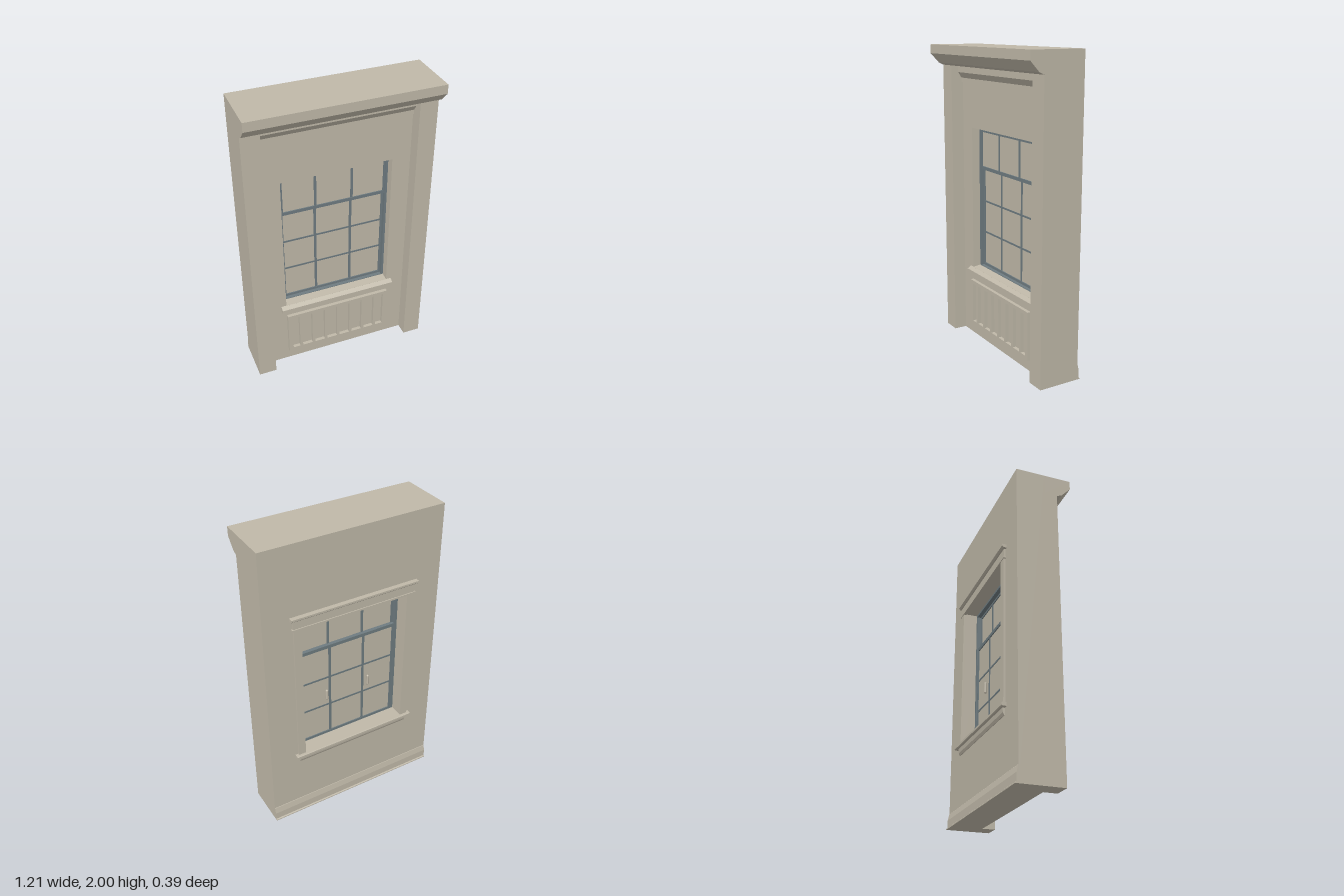
import * as THREE from 'three';

export function createModel() {
  const root = new THREE.Group();
  root.name = 'windowWall';
  const stone = new THREE.MeshStandardMaterial({ color: 0xbfb8a8 });
  stone.name = 'warmStone';
  const steel = new THREE.MeshStandardMaterial({ color: 0x6e7b80 });
  steel.name = 'blueGreyFrame';

  const add = (name, geometry, material = stone) => {
    const mesh = new THREE.Mesh(geometry, material);
    mesh.name = name;
    root.add(mesh);
    return mesh;
  };

  // Box given by its limits on each axis
  const box = (name, x0, x1, y0, y1, z0, z1, material) => {
    const g = new THREE.BoxGeometry(x1 - x0, y1 - y0, z1 - z0);
    g.translate((x0 + x1) / 2, (y0 + y1) / 2, (z0 + z1) / 2);
    return add(name, g, material);
  };

  // Moulding: a [z, y] profile run along x, centred on x = 0
  const moulding = (name, width, profile, material) => {
    const shape = new THREE.Shape(profile.map(([z, y]) => new THREE.Vector2(z, y)));
    const g = new THREE.ExtrudeGeometry(shape, { depth: width, bevelEnabled: false });
    g.rotateY(-Math.PI / 2);
    g.translate(width / 2, 0, 0);
    return add(name, g, material);
  };

  const rect = (x0, x1, y0, y1, Type = THREE.Shape) => new Type([
    new THREE.Vector2(x0, y0), new THREE.Vector2(x1, y0),
    new THREE.Vector2(x1, y1), new THREE.Vector2(x0, y1),
  ]);

  // Flat panel with rectangular holes, each [x0, x1, y0, y1]
  const panel = (name, outer, holes, z0, z1, material) => {
    const shape = rect(...outer);
    holes.forEach((h) => shape.holes.push(rect(...h, THREE.Path)));
    const g = new THREE.ExtrudeGeometry(shape, { depth: z1 - z0, bevelEnabled: false });
    g.translate(0, 0, z0);
    return add(name, g, material);
  };

  // Wall with its window opening, and pilasters on both sides
  panel('wall', [-0.605, 0.605, 0, 2], [[-0.365, 0.365, 0.485, 1.46]], -0.167, 0.02);
  for (const [side, x0, x1] of [['right', -0.605, -0.487], ['left', 0.487, 0.605]]) {
    box(side + 'Pilaster', x0, x1, 0, 1.87, 0.02, 0.105);
  }

  // Cornice over the full width, crown moulding inside the recess
  moulding('cornice', 1.21, [
    [0.02, 1.865], [0.105, 1.865], [0.138, 1.88], [0.197, 1.942], [0.197, 2], [0.02, 2],
  ]);
  moulding('crownMoulding', 0.974, [
    [0.02, 1.755], [0.03, 1.755], [0.03, 1.783], [0.055, 1.82], [0.055, 1.866], [0.02, 1.866],
  ]);

  // Sloping outer sill
  moulding('outerSill', 0.8, [
    [0.015, 0.445], [0.047, 0.445], [0.047, 0.47], [0.02, 0.487], [0.015, 0.487],
  ]);
  moulding('sillSlope', 0.73, [
    [-0.04, 0.484], [0.022, 0.484], [0.022, 0.486], [-0.04, 0.494],
  ]);

  // Slotted grille under the window
  const slots = [];
  const pitch = 0.0915;
  for (let i = 0; i < 8; i++) {
    const c = (i - 3.5) * pitch;
    slots.push([Math.max(c - 0.036, -0.335), Math.min(c + 0.036, 0.335), 0.103, 0.376]);
  }
  panel('grille', [-0.365, 0.365, 0.078, 0.4], slots, 0.02, 0.043);

  // Window: fixed frame, two sashes with glazing bars, panes
  panel('windowFrame', [-0.365, 0.365, 0.487, 1.46], [[-0.35, 0.35, 0.497, 1.445]],
    -0.085, -0.035, steel);
  const sash = (name, y0, y1, z0, z1, rows) => {
    panel(name + 'Rails', [-0.352, 0.352, y0, y1],
      [[-0.337, 0.337, y0 + 0.022, y1 - 0.022]], z0, z1, steel);
    for (const x of [-0.122, 0.122]) {
      box(name + 'UprightBar', x - 0.008, x + 0.008, y0 + 0.01, y1 - 0.01,
        z0 + 0.003, z1 - 0.003, steel);
    }
    for (const y of rows) {
      box(name + 'CrossBar', -0.345, 0.345, y - 0.006, y + 0.006,
        z0 + 0.004, z1 - 0.004, steel);
    }
    const zm = (z0 + z1) / 2;
    box(name + 'Pane', -0.345, 0.345, y0 + 0.01, y1 - 0.01, zm - 0.002, zm + 0.002);
  };
  sash('upperSash', 1.177, 1.453, -0.058, -0.04, []);
  sash('lowerSash', 0.492, 1.2, -0.077, -0.059, [0.735, 0.953]);

  // Pull handles on the inner face
  for (const x of [-0.153, 0.153]) {
    const g = new THREE.CapsuleGeometry(0.009, 0.06, 4, 10);
    g.translate(x, 0.83, -0.088);
    add('pullHandle', g);
  }

  // Inner casing: side boards, header with bead and cap, stool and apron
  for (const s of [-1, 1]) {
    const xs = [s * 0.365, s * 0.415].sort((a, b) => a - b);
    box('sideCasing', xs[0], xs[1], 0.5, 1.46, -0.18, -0.165);
  }
  box('headerBoard', -0.418, 0.418, 1.46, 1.53, -0.178, -0.165);
  box('headerBead', -0.425, 0.425, 1.455, 1.467, -0.184, -0.165);
  moulding('headerCap', 0.87, [
    [-0.165, 1.545], [-0.197, 1.545], [-0.197, 1.533], [-0.186, 1.523], [-0.165, 1.523],
  ]);
  moulding('stool', 0.87, [
    [-0.165, 0.505], [-0.192, 0.505], [-0.197, 0.5], [-0.197, 0.487], [-0.192, 0.482], [-0.165, 0.482],
  ]);
  box('stoolInset', -0.365, 0.365, 0.484, 0.503, -0.167, -0.084);
  moulding('apron', 0.81, [
    [-0.165, 0.483], [-0.181, 0.483], [-0.178, 0.455], [-0.171, 0.438], [-0.165, 0.438],
  ]);

  // Skirting along the foot of the inner face
  moulding('skirting', 1.21, [
    [-0.165, 0.105], [-0.169, 0.1], [-0.178, 0.06], [-0.179, 0.012],
    [-0.186, 0.006], [-0.186, 0], [-0.165, 0],
  ]);

  return root;
}
